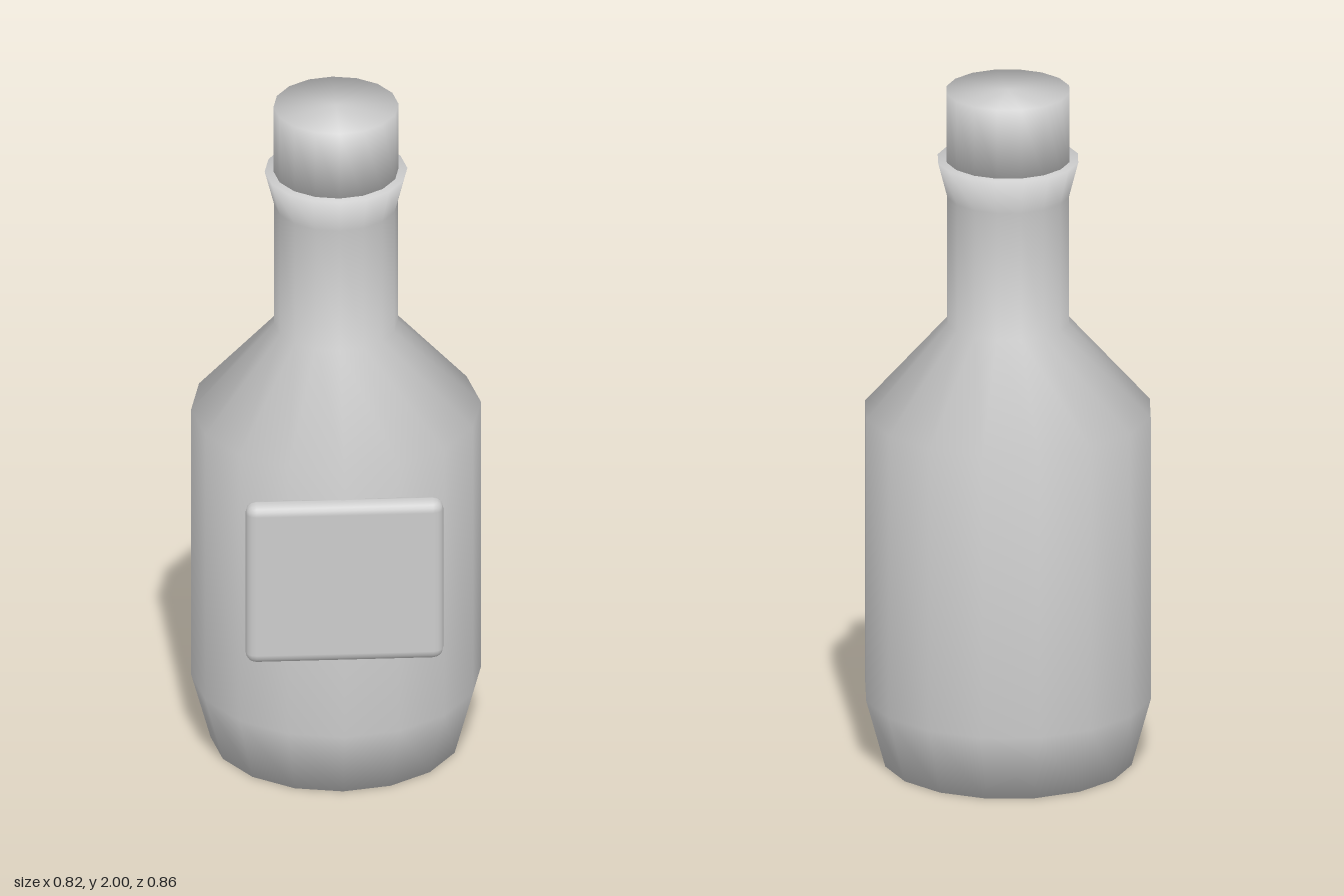
import * as THREE from 'three';
import { RoundedBoxGeometry } from 'three/addons/geometries/RoundedBoxGeometry.js';

const SIDES = 16;
const AXIS_Z = -0.018;

// Closed, smooth-shaded turned part from a bottom-to-top profile of [radius, y]
function turned(name, profile, material) {
  const points = profile.map(([r, y]) => new THREE.Vector2(r, y));
  const mesh = new THREE.Mesh(new THREE.LatheGeometry(points, SIDES), material);
  mesh.name = name;
  mesh.position.z = AXIS_Z;
  return mesh;
}

export function createModel() {
  const model = new THREE.Group();
  model.name = 'bottle';
  const grey = new THREE.MeshStandardMaterial({ color: 0xcccccc });
  grey.name = 'light grey';

  // Body with tapered foot, sloped shoulder, neck and flared lip
  model.add(turned('bottleBody', [
    [0, 0], [0.355, 0], [0.41, 0.2], [0.41, 1.045],
    [0.175, 1.31], [0.175, 1.69], [0.202, 1.795], [0, 1.795],
  ], grey));

  // Stopper standing in the lip
  model.add(turned('stopper', [[0, 1.78], [0.177, 1.78], [0.177, 2], [0, 2]], grey));

  // Raised label plate on the front
  const label = new THREE.Mesh(new RoundedBoxGeometry(0.56, 0.5, 0.066, 2, 0.03), grey);
  label.name = 'label';
  label.position.set(0, 0.705, 0.395);
  model.add(label);

  return model;
}
